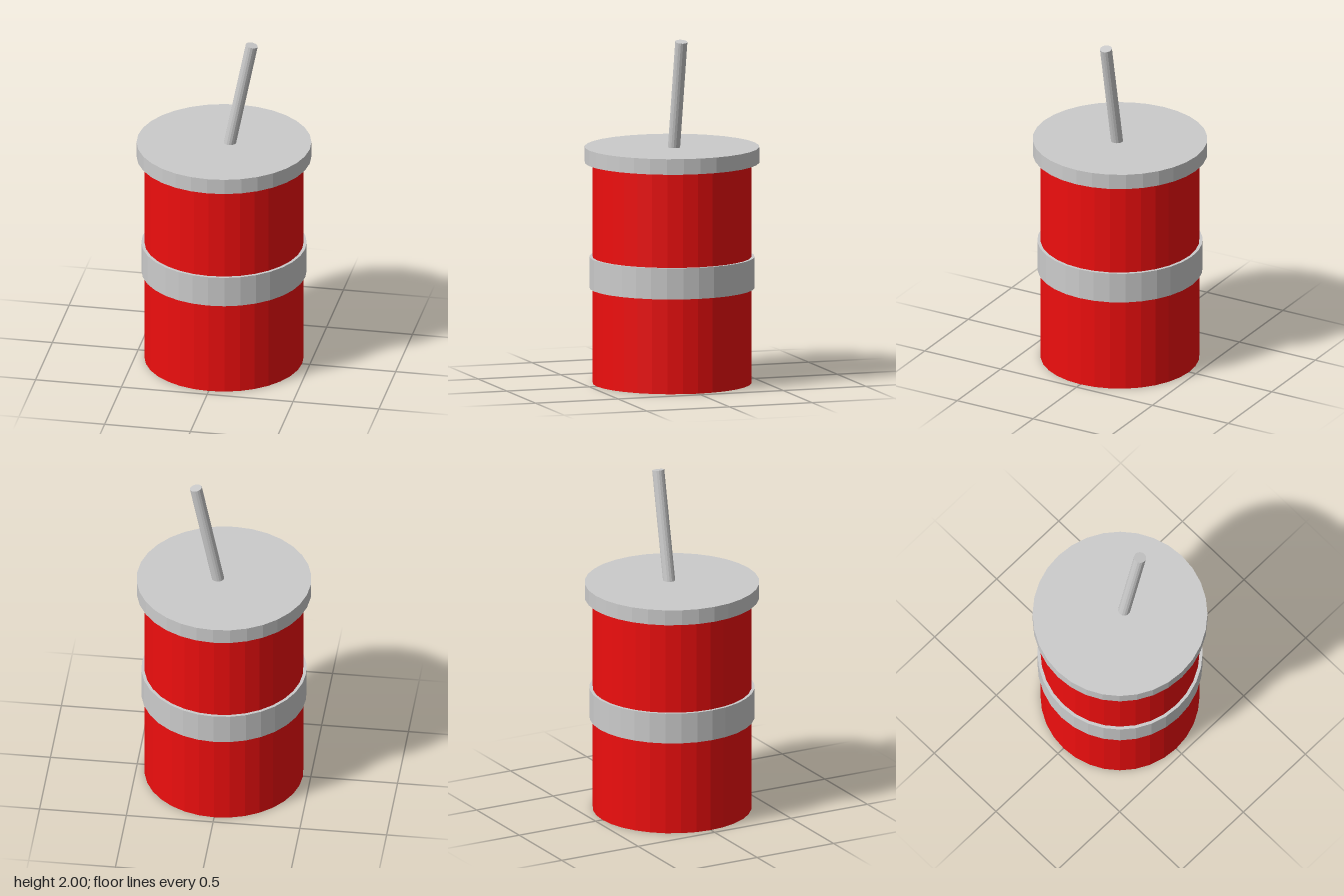
import * as THREE from 'three';

export function createModel() {
  const model = new THREE.Group();
  const grey = new THREE.MeshStandardMaterial({ color: 0xcccccc, flatShading: true });
  const red = new THREE.MeshStandardMaterial({ color: 0xee0e0e, flatShading: true });

  // Upright closed cylinder spanning y0 to y1
  function drum(name, radius, y0, y1, material, sides = 32) {
    const mesh = new THREE.Mesh(new THREE.CylinderGeometry(radius, radius, y1 - y0, sides), material);
    mesh.name = name;
    mesh.position.y = (y0 + y1) / 2;
    model.add(mesh);
    return mesh;
  }

  drum('cupBody', 0.455, 0, 1.3, red);
  drum('sleeveBand', 0.473, 0.55, 0.73, grey);
  drum('lid', 0.5, 1.275, 1.365, grey);

  // Straw leaning towards +x, its lower end hidden inside the cup
  const tilt = 0.2, length = 0.9;
  const straw = drum('straw', 0.035, 0, length, grey, 16);
  straw.rotation.z = -tilt;
  straw.position.set(
    0.162 - Math.sin(tilt) * length / 2,
    1.993 - Math.cos(tilt) * length / 2,
    0
  );

  return model;
}
